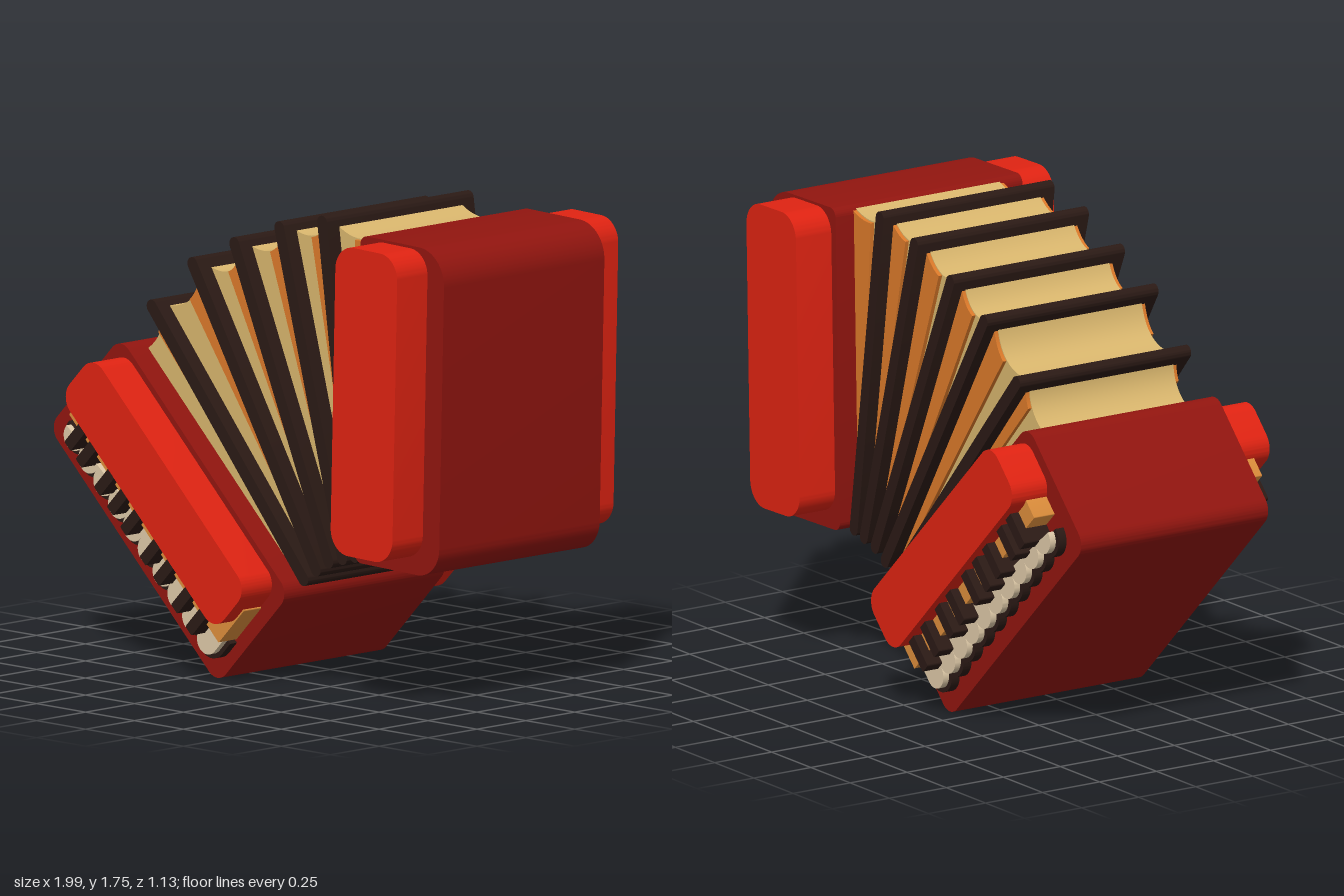
import * as THREE from 'three';
import { toCreasedNormals } from 'three/addons/utils/BufferGeometryUtils.js';

const mat = (color) => new THREE.MeshStandardMaterial({ color });
const CASE = mat(0x92150f), PAD = mat(0xe02312), CREAM = mat(0xd9b66d), ORANGE = mat(0xdc7a2a);
const DARK = mat(0x2b1a15), IVORY = mat(0xdfcaa8), BOARD = mat(0xdf8f3c);

// Flat shape extruded from z0 to z1, smooth round its curves
function plate(parent, name, shape, z0, z1, material) {
  const geo = new THREE.ExtrudeGeometry(shape, { depth: z1 - z0, bevelEnabled: false, curveSegments: 10 });
  geo.translate(0, 0, z0);
  const mesh = new THREE.Mesh(toCreasedNormals(geo, 0.6), material);
  mesh.name = name;
  parent.add(mesh);
}

// The same plate on the front and on the back
function bothSides(parent, name, shape, z0, z1, material) {
  plate(parent, name + 'Front', shape, z0, z1, material);
  plate(parent, name + 'Back', shape, -z1, -z0, material);
}

// Rounded rectangle, radii: bottom left, bottom right, top right, top left
function roundedRect(x0, y0, x1, y1, [a, b, c, d]) {
  const s = new THREE.Shape(), P = Math.PI;
  s.absarc(x0 + a, y0 + a, a, P, 1.5 * P);
  s.absarc(x1 - b, y0 + b, b, 1.5 * P, 2 * P);
  s.absarc(x1 - c, y1 - c, c, 0, 0.5 * P);
  s.absarc(x0 + d, y1 - d, d, 0.5 * P, P);
  s.closePath();
  return s;
}
const even = (r) => [r, r, r, r];

const KEYS = 10, KEY_START = -1.222, PITCH = 0.1055;

// Row of round key ends with radius r
function scallops(r, top) {
  const s = new THREE.Shape(), cut = Math.acos(Math.min(1, PITCH / 2 / r));
  const first = KEY_START + PITCH / 2, last = first + (KEYS - 1) * PITCH;
  s.moveTo(first - r, top);
  for (let i = 0; i < KEYS; i++) {
    s.absarc(first + i * PITCH, 0, r,
      Math.PI + (i ? cut : 0), 2 * Math.PI - (i < KEYS - 1 ? cut : 0));
  }
  s.lineTo(last + r, top);
  s.closePath();
  return s;
}

// Tilted case with a keyboard on both faces
function keyboardCase() {
  const g = new THREE.Group();
  g.name = 'keyboardCase';
  g.rotation.z = -0.771;
  plate(g, 'keyboardCaseBody', roundedRect(-1.307, -0.128, -0.105, 0.396, even(0.06)), -0.41, 0.41, CASE);
  bothSides(g, 'keyboardPad', roundedRect(-1.266, 0.134, -0.166, 0.374, even(0.07)), 0.41, 0.565, PAD);
  bothSides(g, 'keyBed', scallops(0.07, 0.06), 0.41, 0.445, DARK);
  bothSides(g, 'whiteKeys', scallops(PITCH / 2, 0.1), 0.41, 0.47, IVORY);
  bothSides(g, 'keyBoardStrip', roundedRect(-1.225, 0.065, -0.16, 0.25, even(0.004)), 0.41, 0.5, BOARD);
  for (const u of [-1.13, -1.05, -0.92, -0.828, -0.733, -0.594, -0.499, -0.37, -0.268]) {
    bothSides(g, 'blackKey', roundedRect(u - 0.022, 0.005, u + 0.022, 0.16, even(0.006)), 0.41, 0.535, DARK);
  }
  return g;
}

// Upright case with a pad on both faces
function plainCase() {
  const g = new THREE.Group();
  g.name = 'plainCase';
  g.position.set(0.765, 1.115, 0);
  g.rotation.z = -0.025;
  plate(g, 'plainCaseBody', roundedRect(-0.215, -0.602, 0.215, 0.602, [0.035, 0.11, 0.13, 0.035]), -0.41, 0.41, CASE);
  bothSides(g, 'plainPad', roundedRect(-0.186, -0.543, 0.13, 0.592, even(0.09)), 0.41, 0.565, PAD);
  return g;
}

// Rib lines as [topX, topY, bottomX, bottomY]; first and last lie on the cases
const LINES = [
  [-0.62, 1.145, 0.18, 0.375],
  [-0.537, 1.318, 0.238, 0.414],
  [-0.329, 1.5, 0.302, 0.457],
  [-0.115, 1.6, 0.366, 0.495],
  [0.115, 1.687, 0.436, 0.516],
  [0.334, 1.735, 0.5, 0.532],
  [0.585, 1.715, 0.555, 0.545],
];
const SAG = [0.03, 0.065, 0.07, 0.06, 0.045, 0.04];

function bellows() {
  const g = new THREE.Group();
  g.name = 'bellows';

  // Ribs: round-ended plates
  for (const [tx, ty, bx, by] of LINES.slice(1, -1)) {
    const r = 0.025, dir = Math.atan2(ty - by, tx - bx), s = new THREE.Shape();
    s.absarc(tx, ty, r, dir - Math.PI / 2, dir + Math.PI / 2);
    s.absarc(bx, by, r, dir + Math.PI / 2, dir + 1.5 * Math.PI);
    s.closePath();
    plate(g, 'bellowsRib', s, -0.375, 0.375, DARK);
  }

  // Folds: cream wedge with a sagging top, orange over its second half
  for (let i = 0; i < SAG.length; i++) {
    const [ax, ay, bx, by] = LINES[i], [cx, cy, dx, dy] = LINES[i + 1];
    const a = new THREE.Vector2(ax, ay), c = new THREE.Vector2(cx, cy);
    const out = new THREE.Vector2(ay - cy, cx - ax).normalize();
    const ctrl = a.clone().add(c).multiplyScalar(0.5).addScaledVector(out, -2 * SAG[i]);
    const top = new THREE.QuadraticBezierCurve(a, ctrl, c).getPoints(16);
    const b = new THREE.Vector2(bx, by), d = new THREE.Vector2(dx, dy);
    const mid = b.clone().lerp(d, 0.5);
    plate(g, 'creamFold', new THREE.Shape([b, d, ...top.slice().reverse()]), -0.315, 0.315, CREAM);
    const low = top.slice(8).map((p) => p.clone().addScaledVector(out, -0.004));
    plate(g, 'orangeFold', new THREE.Shape([mid, d, ...low.reverse()]), -0.33, 0.33, ORANGE);
  }
  return g;
}

export function createModel() {
  const model = new THREE.Group();
  model.name = 'accordion';
  model.add(keyboardCase(), plainCase(), bellows());
  return model;
}
